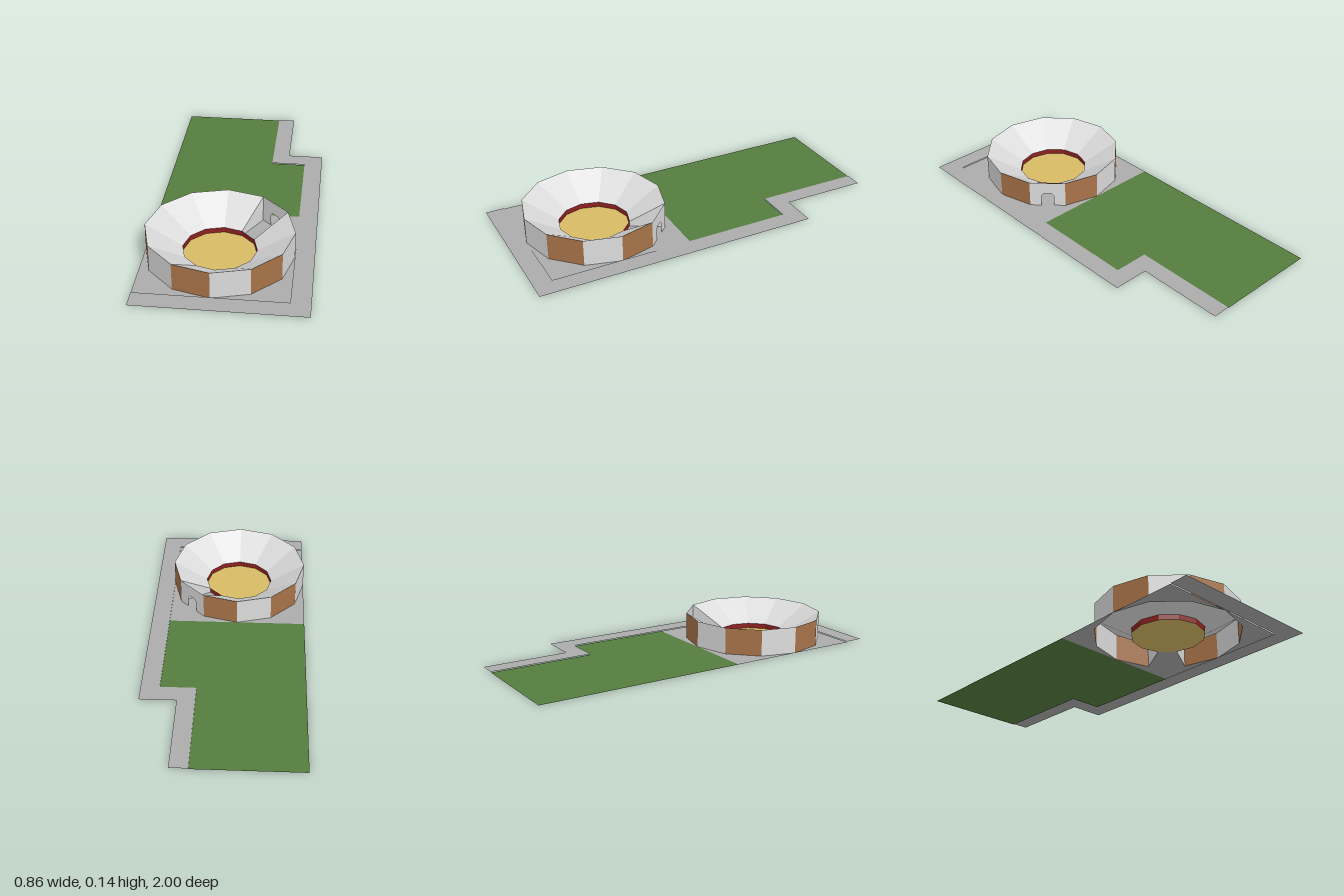
import * as THREE from 'three';

const CX = -0.05, CZ = 0.52;      // ring centre
const R_OUT = 0.38, R_IN = 0.19;  // twelve-sided outer wall and arena
const H = 0.145, H_IN = 0.028;    // wall height, arena barrier height
const SIDES = 12, GATE = 4;       // segment that holds the gate

const mat = (name, color) => {
  const m = new THREE.MeshStandardMaterial({ color, side: THREE.DoubleSide });
  m.name = name;
  return m;
};

export function createModel() {
  const stone = mat('pale stone', 0xdcdcdc);
  const brick = mat('brown brick', 0xa87349);
  const paving = mat('grey paving', 0xacacac);
  const grass = mat('green grass', 0x557d3f);
  const sand = mat('yellow sand', 0xd7ba65);
  const red = mat('red barrier', 0x8c2020);

  const group = new THREE.Group();
  const add = (name, geometry, material) => {
    const mesh = new THREE.Mesh(geometry, material);
    mesh.name = name;
    group.add(mesh);
    return mesh;
  };

  // Point on the ring at corner k
  const corner = (k, r, y = 0) => {
    const a = (k * Math.PI * 2) / SIDES;
    return [CX + r * Math.sin(a), y, CZ + r * Math.cos(a)];
  };
  // Flat four-cornered faces, corners counter-clockwise from the front
  const quads = (list) => {
    const g = new THREE.BufferGeometry();
    const pos = list.flatMap(([a, b, c, d]) => [...a, ...b, ...c, ...a, ...c, ...d]);
    g.setAttribute('position', new THREE.Float32BufferAttribute(pos, 3));
    g.computeVertexNormals();
    return g;
  };
  // Horizontal sheet from [x, z] outline
  const toShape = (pts) => new THREE.Shape(pts.map(([x, z]) => new THREE.Vector2(x, -z)));
  const sheet = (shape, y = 0) => new THREE.ShapeGeometry(shape).rotateX(-Math.PI / 2).translate(0, y, 0);
  const ringOutline = (r) => Array.from({ length: SIDES }, (_, k) => {
    const [x, , z] = corner(k, r);
    return [x, z];
  });

  // Lawn
  add('lawn', sheet(toShape([
    [-0.43, 0.14], [0.33, 0.14], [0.33, -0.43], [0.14, -0.43], [0.14, -1], [-0.43, -1],
  ])), grass);

  // Raised pavement along the edge
  add('pavement', sheet(toShape([
    [-0.43, 1], [0.43, 1], [0.43, -0.53], [0.235, -0.53], [0.235, -1], [0.14, -1],
    [0.14, -0.43], [0.33, -0.43], [0.33, 0.9], [-0.43, 0.9],
  ]), 0.004), paving);

  // Plaza, open below the stands
  const plaza = toShape([[-0.43, 0.9], [0.33, 0.9], [0.33, 0.14], [-0.43, 0.14]]);
  plaza.holes.push(toShape(ringOutline(R_OUT - 0.0005)));
  add('plaza', sheet(plaza), paving);
  add('gatePassageFloor', quads([[
    corner(GATE, R_IN), corner(GATE, R_OUT), corner(GATE + 1, R_OUT), corner(GATE + 1, R_IN),
  ]]), paving);

  // Arena floor
  add('arenaFloor', sheet(toShape(ringOutline(R_IN))), sand);

  // Outer wall in alternating colours, sloping stands and inner barrier
  const wallSets = [[], []], stands = [], barrier = [];
  for (let k = 0; k < SIDES; k++) {
    barrier.push([corner(k + 1, R_IN), corner(k, R_IN), corner(k, R_IN, H_IN), corner(k + 1, R_IN, H_IN)]);
    if (k === GATE) continue;
    wallSets[k % 2].push([corner(k, R_OUT), corner(k + 1, R_OUT), corner(k + 1, R_OUT, H), corner(k, R_OUT, H)]);
    stands.push([corner(k, R_IN, H_IN), corner(k, R_OUT, H), corner(k + 1, R_OUT, H), corner(k + 1, R_IN, H_IN)]);
  }
  add('stoneWalls', quads(wallSets[0]), stone);
  add('brickWalls', quads(wallSets[1]), brick);
  add('stands', quads(stands), stone);
  add('arenaBarrier', quads(barrier), red);

  // Side walls of the gate passage
  const sideWall = (k) => [corner(k, R_IN), corner(k, R_OUT), corner(k, R_OUT, H), corner(k, R_IN, H_IN)];
  add('gatePassageWalls', quads([sideWall(GATE).reverse(), sideWall(GATE + 1)]), stone);

  // Gate wall with an arched doorway
  const w = R_OUT * Math.sin(Math.PI / SIDES), d = 0.035;
  const gate = new THREE.Shape([
    [-w, 0], [-d, 0], [-d, 0.062], [-d * 0.6, 0.076], [d * 0.6, 0.076], [d, 0.062], [d, 0], [w, 0], [w, H], [-w, H],
  ].map(([x, y]) => new THREE.Vector2(x, y)));
  const gateWall = add('gateWall', new THREE.ShapeGeometry(gate), stone);
  const angle = ((GATE + 0.5) * Math.PI * 2) / SIDES;
  const apothem = R_OUT * Math.cos(Math.PI / SIDES);
  gateWall.position.set(CX + apothem * Math.sin(angle), 0, CZ + apothem * Math.cos(angle));
  gateWall.rotation.y = angle;

  return group;
}
